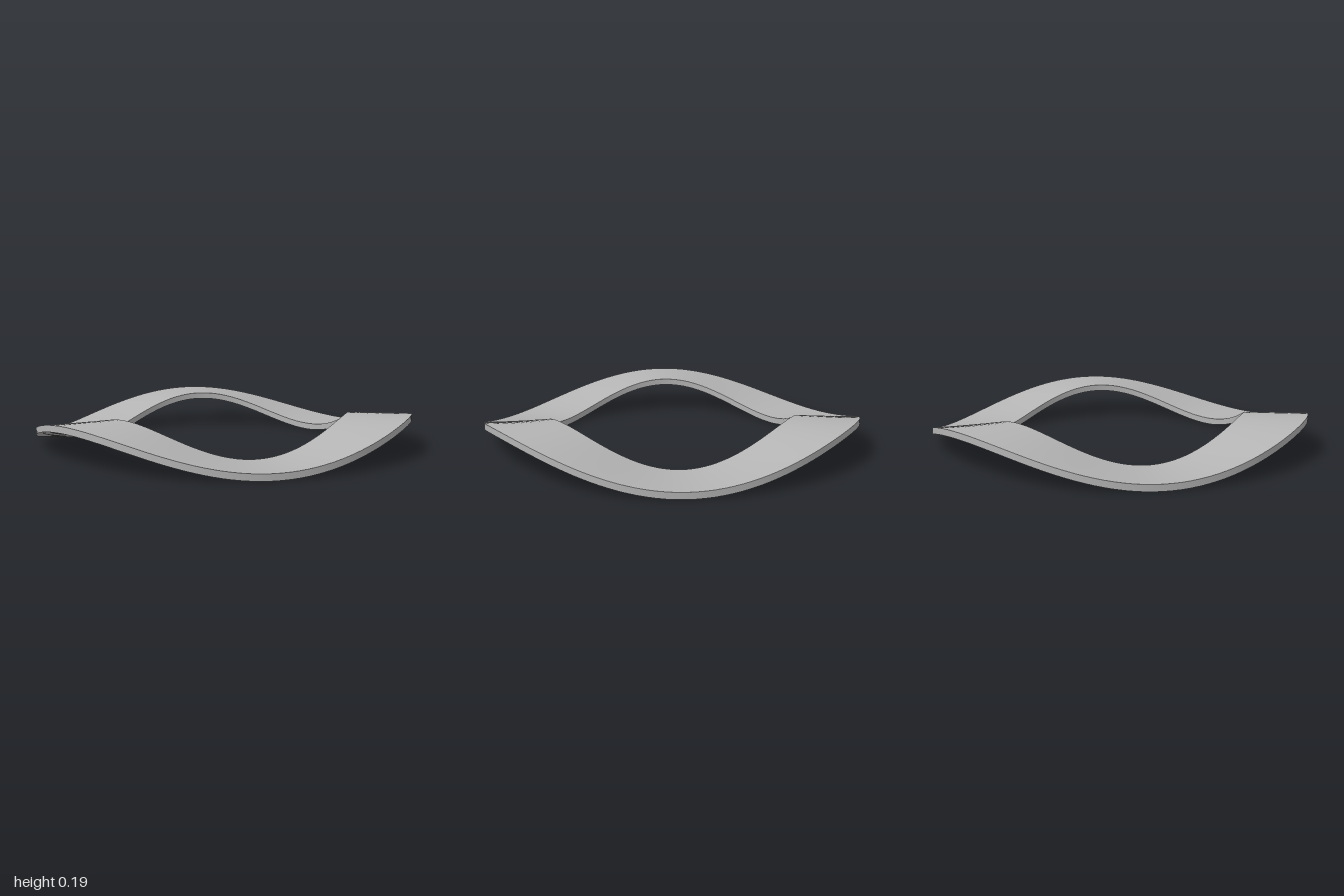
import * as THREE from 'three';

const SEGMENTS = 144;
const WAVES = 3;
const INNER = 0.667, OUTER = 1;
const HEIGHT = 0.19, THICKNESS = 0.034;
const AMPLITUDE = (HEIGHT - THICKNESS) / 2;

// Closed strip between two wavy edges, each given as [radius, height offset].
function wavyStrip(edgeA, edgeB) {
  const positions = [], indices = [];
  for (let i = 0; i < SEGMENTS; i++) {
    const angle = (i / SEGMENTS) * Math.PI * 2;
    const wave = AMPLITUDE * (1 - Math.cos(WAVES * angle));
    for (const [radius, lift] of [edgeA, edgeB]) {
      positions.push(radius * Math.cos(angle), wave + lift, radius * Math.sin(angle));
    }
    const a = i * 2, next = ((i + 1) % SEGMENTS) * 2;
    indices.push(a, next, a + 1, next, next + 1, a + 1);
  }
  const geometry = new THREE.BufferGeometry();
  geometry.setAttribute('position', new THREE.Float32BufferAttribute(positions, 3));
  geometry.setIndex(indices);
  geometry.computeVertexNormals();
  return geometry;
}

export function createModel() {
  const model = new THREE.Group();
  model.name = 'waveWasher';
  const steel = new THREE.MeshStandardMaterial({ color: 0xb4b4b4 });
  steel.name = 'steel grey';

  // Corners of the rectangular cross-section, in order around it
  const corners = [[INNER, THICKNESS], [OUTER, THICKNESS], [OUTER, 0], [INNER, 0]];
  const names = ['topFace', 'outerRim', 'bottomFace', 'innerRim'];

  // One smooth strip per side keeps the rim edges sharp
  names.forEach((name, i) => {
    const mesh = new THREE.Mesh(wavyStrip(corners[i], corners[(i + 1) % 4]), steel);
    mesh.name = name;
    model.add(mesh);
  });
  return model;
}
